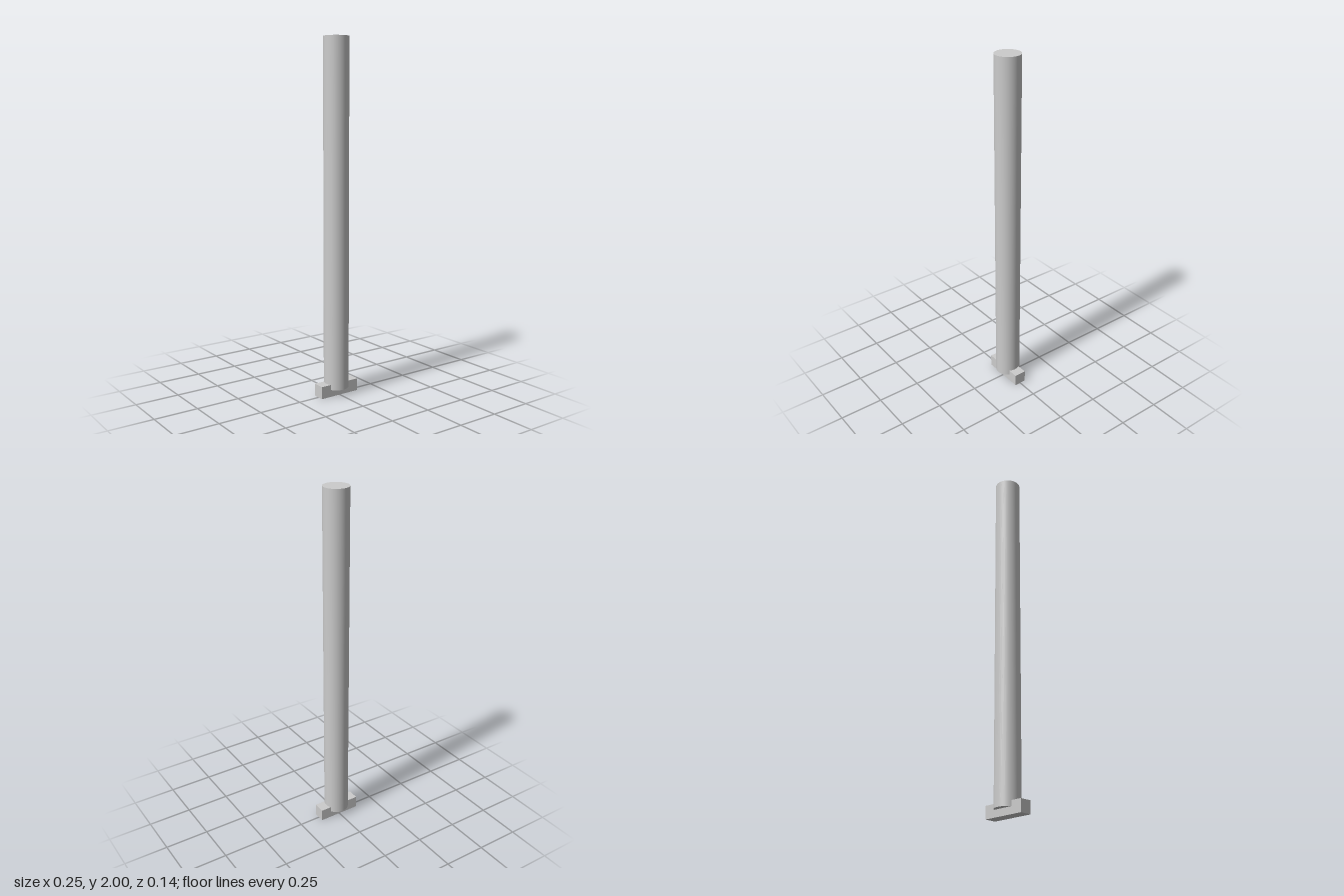
import * as THREE from 'three';

export function createModel() {
  const group = new THREE.Group();
  const material = new THREE.MeshStandardMaterial({ color: 0xcccccc });

  const add = (name, geometry, bottom, height) => {
    const mesh = new THREE.Mesh(geometry, material);
    mesh.name = name;
    mesh.position.y = bottom + height / 2;
    group.add(mesh);
  };

  // Long round shaft, its lower end sunk partway into the crossbar
  add('shaft', new THREE.CylinderGeometry(0.071, 0.071, 1.96, 96), 0.04, 1.96);

  // Square crossbar through the foot of the shaft
  add('crossbar', new THREE.BoxGeometry(0.248, 0.07, 0.07), 0, 0.07);

  return group;
}
